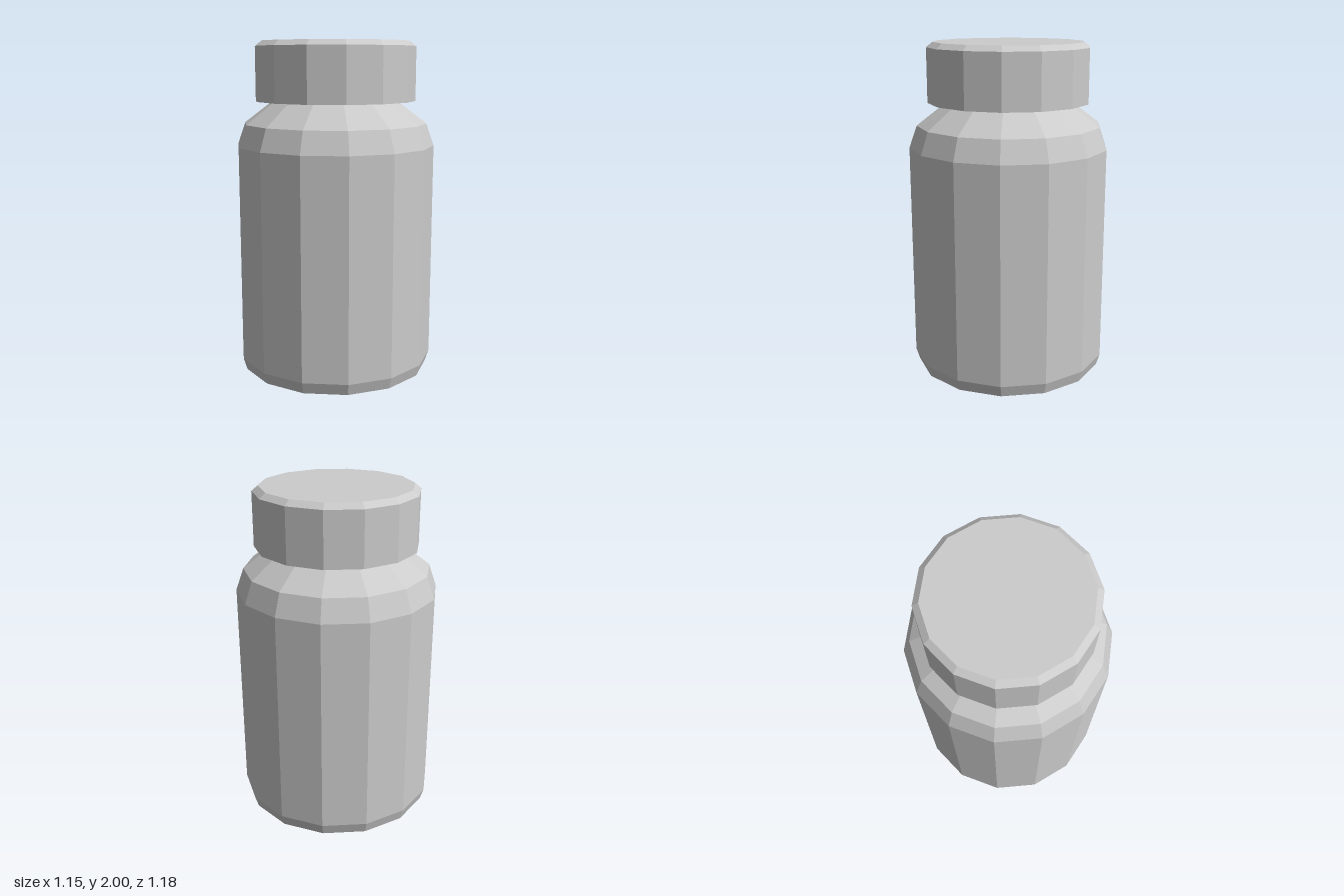
import * as THREE from 'three';

const SIDES = 14;

// Faceted solid of revolution from [radius, height] pairs, bottom to top
function turned(name, profile, material) {
  const points = profile.map(([r, y]) => new THREE.Vector2(r, y));
  const mesh = new THREE.Mesh(new THREE.LatheGeometry(points, SIDES), material);
  mesh.name = name;
  return mesh;
}

export function createModel() {
  const model = new THREE.Group();
  model.name = 'jar';
  const material = new THREE.MeshStandardMaterial({ color: 0xcccccc, flatShading: true });

  // Bottle: chamfered base, straight wall, two-step shoulder up to the neck
  model.add(turned('bottle', [
    [0, 0], [0.49, 0], [0.57, 0.03], [0.592, 0.1],
    [0.592, 1.39], [0.546, 1.52], [0.375, 1.65], [0, 1.65],
  ], material));

  // Lid: overhanging cap with a bevelled top edge
  model.add(turned('lid', [
    [0, 1.652], [0.479, 1.652], [0.479, 1.97], [0.443, 2], [0, 2],
  ], material));

  return model;
}
